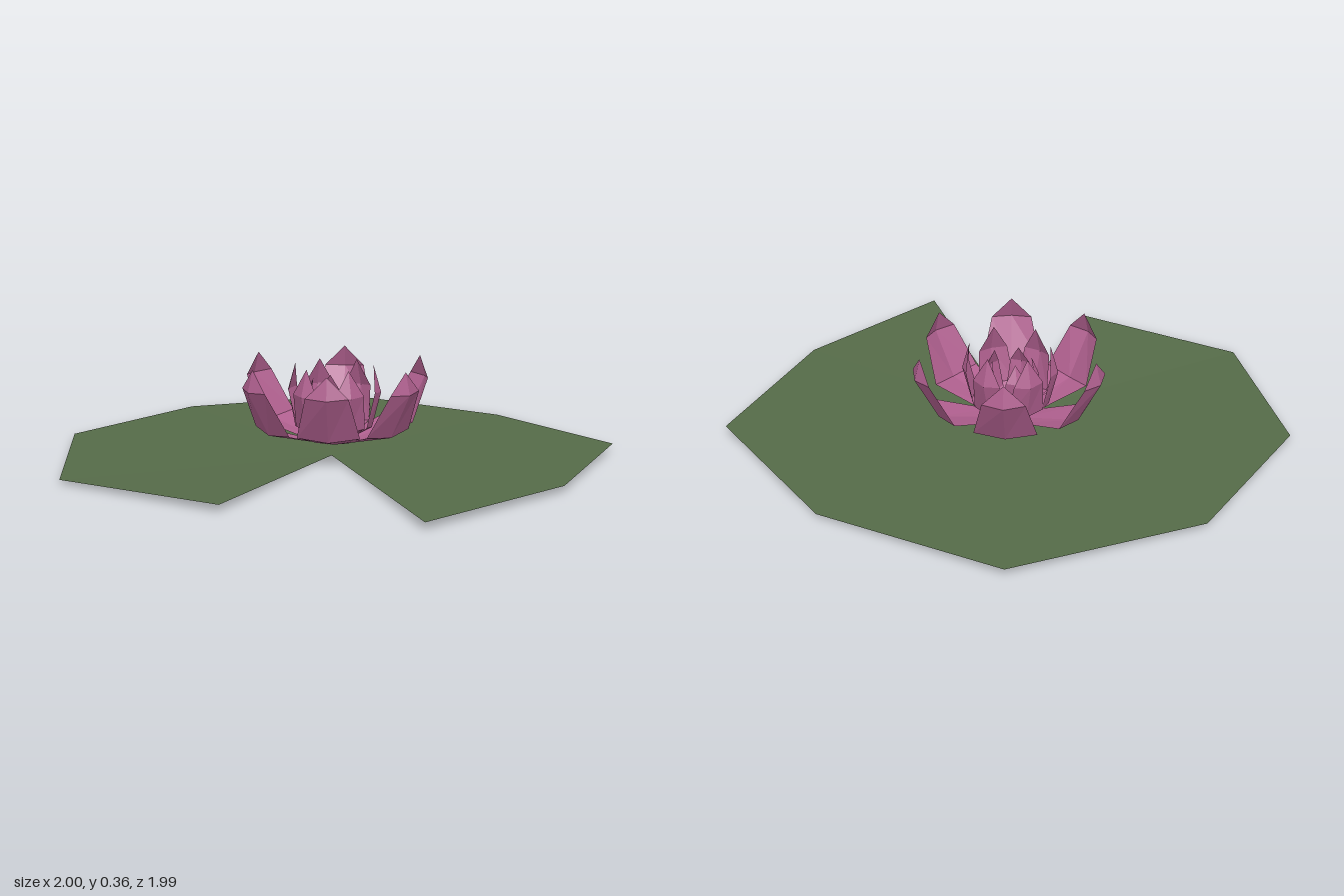
import * as THREE from 'three';

const leafGreen = new THREE.MeshStandardMaterial({ color: 0x556b48, side: THREE.DoubleSide });
leafGreen.name = 'leafGreen';
const petalPink = new THREE.MeshStandardMaterial({ color: 0xb0608f, side: THREE.DoubleSide });
petalPink.name = 'petalPink';

// Faceted mesh from points and triangle indices
function facetMesh(name, points, index, material) {
  const indexed = new THREE.BufferGeometry();
  indexed.setAttribute('position', new THREE.Float32BufferAttribute(points.flat(), 3));
  indexed.setIndex(index);
  const geometry = indexed.toNonIndexed();
  geometry.computeVertexNormals();
  const mesh = new THREE.Mesh(geometry, material);
  mesh.name = name;
  return mesh;
}

// Shallow notched leaf: a fan from the notch apex around the rim
function lilyPad() {
  const points = [
    [0.035, 0, 0],
    [0.33, 0.028, 0.84], [-0.36, 0.015, 0.99], [-0.91, 0.022, 0.53],
    [-1, 0.02, -0.17], [-0.65, 0.026, -0.83], [0.07, 0.015, -1],
    [0.77, 0.028, -0.83], [1, 0.025, -0.17], [0.95, 0.028, 0.52],
  ];
  const index = [];
  for (let i = 1; i < points.length - 1; i++) index.push(0, i + 1, i);
  for (let i = 0; i < index.length; i += 3) {
    [index[i + 1], index[i + 2]] = [index[i + 2], index[i + 1]];
  }
  // keep the upper side as the front face
  for (let i = 0; i < index.length; i += 3) {
    const [a, b, c] = [0, 1, 2].map((k) => new THREE.Vector3(...points[index[i + k]]));
    if (b.sub(a).cross(c.sub(a)).y < 0) [index[i + 1], index[i + 2]] = [index[i + 2], index[i + 1]];
  }
  return facetMesh('lilyPad', points, index, leafGreen);
}

// Cupped petal along +x; rows are [radius, height, half width, edge inset, edge lift]
function petal(name, rows, tip) {
  const points = [];
  const index = [];
  for (const [r, y, w, inset, lift] of rows) {
    points.push([r - inset, y + lift, -w], [r, y, 0], [r - inset, y + lift, w]);
  }
  for (let i = 0; i < rows.length - 1; i++) {
    for (let j = 0; j < 2; j++) {
      const a = i * 3 + j;
      index.push(a, a + 1, a + 3, a + 1, a + 4, a + 3);
    }
  }
  const last = (rows.length - 1) * 3;
  points.push([tip[0], tip[1], 0]);
  index.push(last, last + 1, last + 3, last + 1, last + 2, last + 3);
  return facetMesh(name, points, index, petalPink);
}

// Ring of petals at the given compass angles (degrees from +x towards +z)
function petalRing(name, angles, rows, tip) {
  const ring = new THREE.Group();
  ring.name = name;
  for (const angle of angles) {
    const p = petal(name + 'Petal', rows, tip);
    p.rotation.y = -THREE.MathUtils.degToRad(angle);
    ring.add(p);
  }
  return ring;
}

export function createModel() {
  const model = new THREE.Group();
  model.name = 'waterLily';

  const flower = new THREE.Group();
  flower.name = 'flower';
  flower.position.set(-0.01, 0, -0.058);
  flower.add(
    petalRing('outer', [0, 50, 101, 171, 233, 294],
      [[0.06, 0.04, 0.06, 0, 0.005], [0.3, 0.1, 0.118, 0.015, 0.015], [0.392, 0.275, 0.08, 0.025, 0.005]],
      [0.37, 0.36]),
    petalRing('middle', [25, 88, 150, 205, 262, 322],
      [[0.045, 0.05, 0.035, 0, 0], [0.15, 0.1, 0.075, 0.015, 0.01], [0.185, 0.24, 0.06, 0.02, 0.005]],
      [0.155, 0.345]),
    petalRing('inner', [0, 72, 144, 216, 288],
      [[0.038, 0.06, 0.026, 0, 0], [0.09, 0.11, 0.05, 0.01, 0.005], [0.11, 0.22, 0.04, 0.015, 0.005]],
      [0.08, 0.29]),
  );

  model.add(lilyPad(), flower);
  return model;
}
